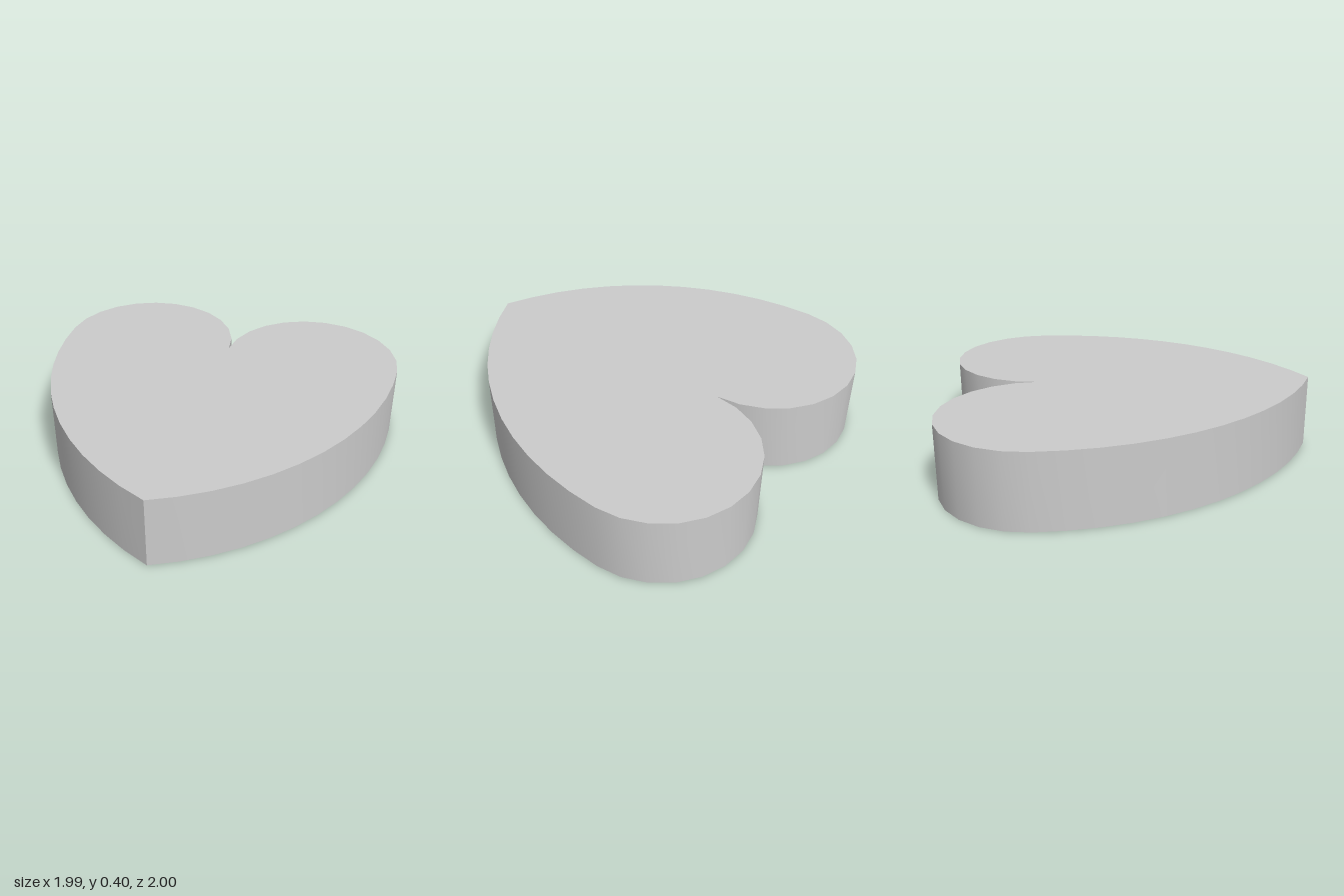
import * as THREE from 'three';
import { toCreasedNormals } from 'three/addons/utils/BufferGeometryUtils.js';

export function createModel() {
  const model = new THREE.Group();
  model.name = 'heart';

  const height = 0.397;
  const lobe = 0.4965; // radius of the two round lobes
  const base = 1 - lobe; // line where lobes meet the sides
  const drop = 1 + base; // from that line down to the tip
  const width = 2 * lobe;
  const side = (width * width + drop * drop) / (2 * width); // radius of the long sides
  const sweep = Math.asin(drop / side);

  // Outline of four arcs, counterclockwise from the tip
  const outline = new THREE.Shape();
  outline.moveTo(0, -1);
  outline.absarc(width - side, base, side, -sweep, 0, false);
  outline.absarc(lobe, base, lobe, 0, Math.PI, false);
  outline.absarc(-lobe, base, lobe, 0, Math.PI, false);
  outline.absarc(side - width, base, side, Math.PI, Math.PI + sweep, false);

  // Slab lying flat, tip towards the front; 12 facets per arc
  const slab = new THREE.ExtrudeGeometry(outline, { depth: height, bevelEnabled: false, curveSegments: 6 });
  slab.rotateX(-Math.PI / 2);

  const mesh = new THREE.Mesh(
    toCreasedNormals(slab, 0.5),
    new THREE.MeshStandardMaterial({ color: 0xcccccc })
  );
  mesh.name = 'heartSlab';
  model.add(mesh);
  return model;
}
